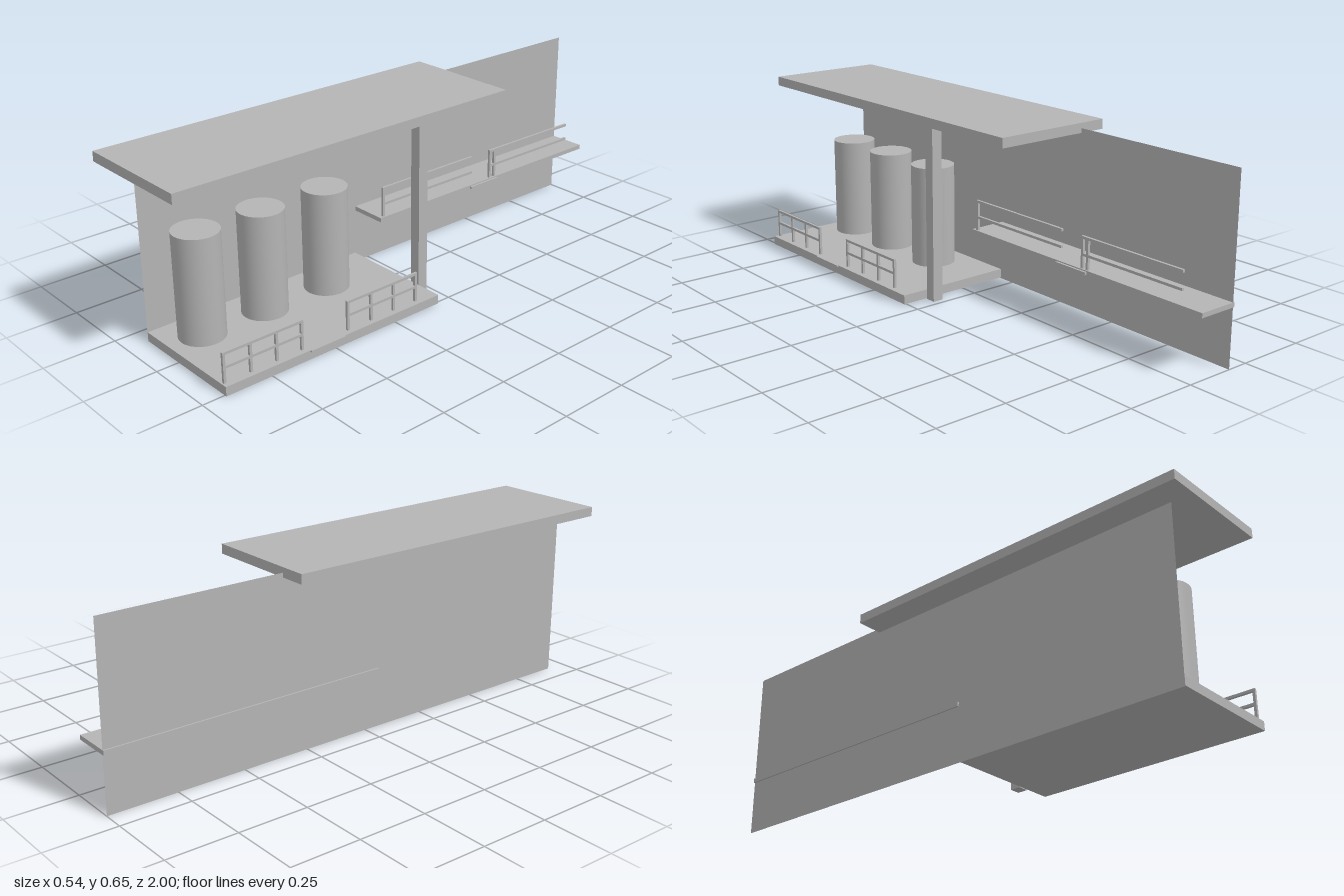
import * as THREE from 'three';

export function createModel() {
  const model = new THREE.Group();
  model.name = 'tankShelter';

  const grey = new THREE.MeshStandardMaterial({ color: 0xb4b4b4 });
  grey.name = 'concreteGrey';
  grey.side = THREE.DoubleSide;

  // Box given by its extents on each axis
  const box = (name, [x0, x1], [y0, y1], [z0, z1], parent = model) => {
    const mesh = new THREE.Mesh(new THREE.BoxGeometry(x1 - x0, y1 - y0, z1 - z0), grey);
    mesh.position.set((x0 + x1) / 2, (y0 + y1) / 2, (z0 + z1) / 2);
    mesh.name = name;
    parent.add(mesh);
    return mesh;
  };

  // Main slabs and column
  box('roof', [-0.27, 0.167], [0.614, 0.648], [-0.34, 1]);
  box('platform', [-0.173, 0.262], [0.003, 0.035], [0.06, 0.923]);
  box('column', [0.125, 0.164], [0, 0.614], [0.022, 0.06]);
  box('walkway', [-0.18, -0.036], [0.2, 0.216], [-1, 0.055]);

  // Paper-thin side wall
  const wall = new THREE.Mesh(new THREE.PlaneGeometry(1.923, 0.63), grey);
  wall.rotation.y = Math.PI / 2;
  wall.position.set(-0.174, 0.315, -0.0385);
  wall.name = 'wall';
  model.add(wall);

  // Row of storage tanks
  const tankGeometry = new THREE.CylinderGeometry(0.0785, 0.0785, 0.369, 48);
  for (const z of [0.8, 0.555, 0.295]) {
    const tank = new THREE.Mesh(tankGeometry, grey);
    tank.position.set(-0.045, 0.2195, z);
    tank.name = 'tank';
    model.add(tank);
  }

  // Railing running along z: rails at given heights, posts at given z
  const T = 0.0045;
  const railing = (name, x, base, heights, [z0, z1], posts) => {
    const group = new THREE.Group();
    group.name = name;
    for (const y of heights) box('rail', [x - T, x + T], [y - 2 * T, y], [z0, z1], group);
    const top = Math.max(...heights);
    for (const z of posts) box('post', [x - T, x + T], [base, top], [z - T, z + T], group);
    model.add(group);
  };

  // Platform railings, each with four posts
  for (const z0 of [0.141, 0.617]) {
    const z1 = z0 + 0.3;
    const posts = [0, 1, 2, 3].map((i) => z0 + T + ((0.3 - 2 * T) * i) / 3);
    railing('platformRailing', 0.2395, 0.035, [0.14, 0.093], [z0, z1], posts);
  }

  // Walkway railings on either side of the access gap
  railing('walkwayRailingNear', -0.045, 0.216, [0.325, 0.268], [-0.395, 0.04], [0.0355]);
  railing('walkwayRailingFar', -0.045, 0.216, [0.325, 0.268], [-0.915, -0.487], [-0.4915, -0.515]);

  // Small sills at the access gaps
  box('platformSill', [0.255, 0.268], [0.03, 0.0355], [0.468, 0.606]);
  box('walkwaySill', [-0.042, -0.028], [0.203, 0.212], [-0.52, -0.383]);

  return model;
}
